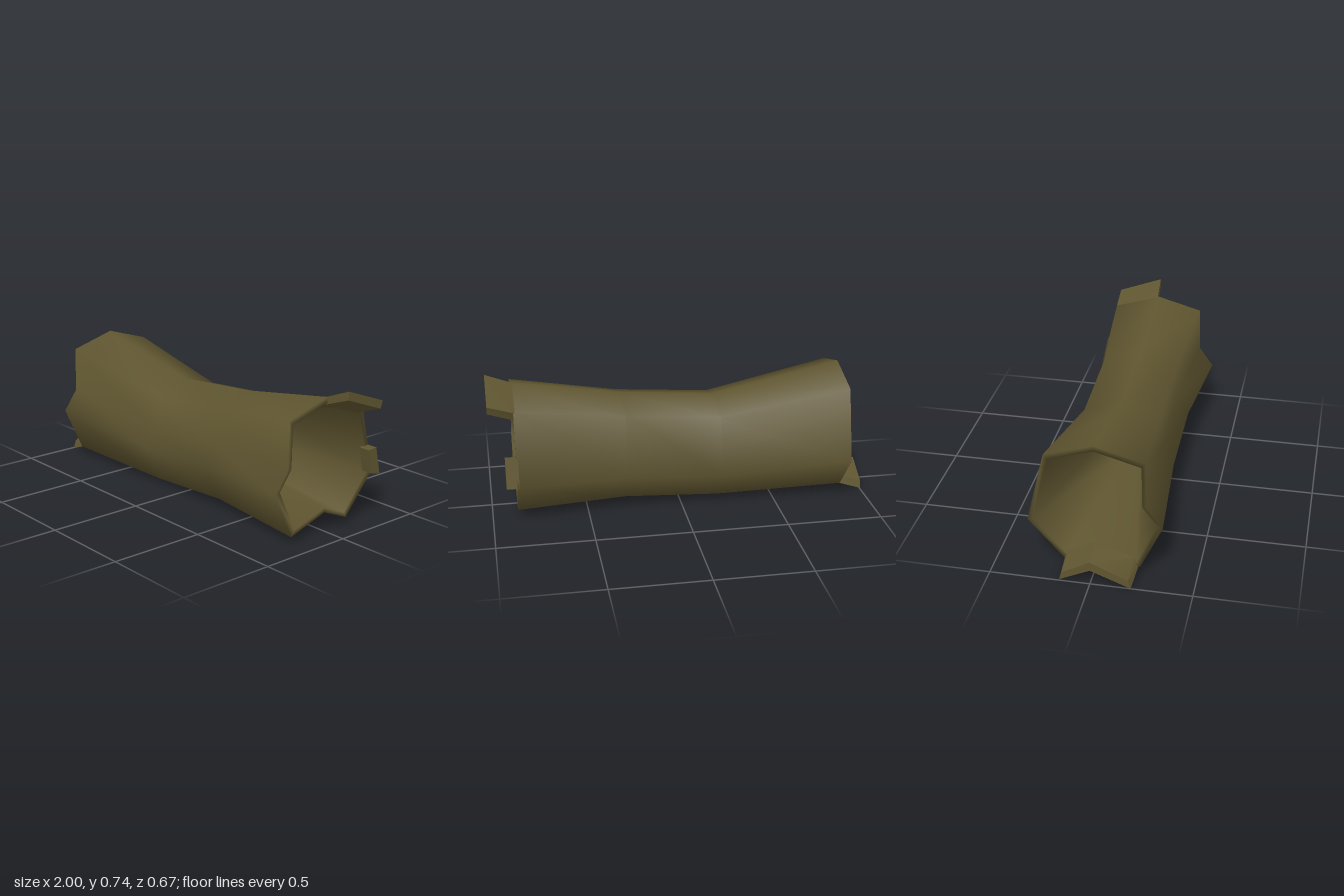
import * as THREE from 'three';
import { toCreasedNormals } from 'three/addons/utils/BufferGeometryUtils.js';

// Trunk outline as [z, y], centred on y = 0, counterclockwise seen from +x
const OUTLINE = [
  [0, 0.33], [0.25, 0.26], [0.255, 0.02], [0.335, -0.09], [0.225, -0.33],
  [0, -0.26], [-0.155, -0.325], [-0.335, -0.12], [-0.245, 0.255],
];

// Joins rings of [x, y, z] points running from +x to -x.
// loop: last ring joins the first; otherwise both ends are capped.
function loft(rings, loop) {
  const n = rings[0].length, m = rings.length, index = [];
  for (let i = 0; i < (loop ? m : m - 1); i++) {
    const a = i * n, b = ((i + 1) % m) * n;
    for (let j = 0; j < n; j++) {
      const k = (j + 1) % n;
      index.push(a + j, b + j, a + k, a + k, b + j, b + k);
    }
  }
  if (!loop) {
    const e = (m - 1) * n;
    for (let k = 0; k < n / 2 - 1; k++) {
      const p = k, q = k + 1, r = n - 2 - k, s = n - 1 - k;
      index.push(p, q, r, p, r, s, e + p, e + r, e + q, e + p, e + s, e + r);
    }
  }
  const g = new THREE.BufferGeometry();
  g.setAttribute('position', new THREE.Float32BufferAttribute(rings.flat(2), 3));
  g.setIndex(index);
  g.computeVertexNormals();
  return g;
}

export function createModel() {
  const group = new THREE.Group();
  const bark = new THREE.MeshStandardMaterial({ color: 0x5f5530 });
  bark.name = 'bark';
  const add = (name, geometry) => {
    const mesh = new THREE.Mesh(geometry, bark);
    mesh.name = name;
    group.add(mesh);
  };

  // Hollow trunk: outside from +x to -x, then back through the narrowing bore
  const stations = [ // x, height scale, width scale, centre y
    [0.87, 1, 1, 0.36], [0.3, 0.833, 0.82, 0.325],
    [-0.2, 0.81, 0.82, 0.292], [-0.88, 1, 0.99, 0.375],
    [-0.88, 0.91, 0.91, 0.375], [-0.2, 0.43, 0.42, 0.333],
    [0.3, 0.56, 0.55, 0.335], [0.87, 0.91, 0.91, 0.36],
  ];
  add('hollowTrunk', loft(stations.map(([x, sy, sz, cy]) =>
    OUTLINE.map(([z, y]) => [x, cy + y * sy, z * sz])), true));

  // Broken splinters sticking out of the rims; sections are [z, y]
  const splinter = (name, x0, s0, x1, s1) => {
    const ring = (x, s) => s.map(([z, y]) => [x, y, z]);
    add(name, toCreasedNormals(loft([ring(x0, s0), ring(x1, s1)], false), 0.7));
  };
  splinter('topSplinter',
    1, [[-0.247, 0.655], [-0.007, 0.743], [-0.005, 0.70], [-0.235, 0.615]],
    0.86, [[-0.245, 0.613], [0, 0.688], [0, 0.65], [-0.222, 0.565]]);
  const side = [[-0.334, 0.24], [-0.302, 0.385], [-0.25, 0.38], [-0.275, 0.252]];
  splinter('sideSplinter', 0.925, side, 0.86, side);
  splinter('bottomSplinter',
    -0.87, [[0.215, 0.048], [0, 0.117], [-0.152, 0.052],
      [-0.138, 0.09], [0, 0.162], [0.195, 0.09]],
    -1, [[0.2, 0.002], [0, 0.08], [-0.152, 0.008],
      [-0.14, 0.05], [0, 0.128], [0.185, 0.045]]);

  return group;
}
